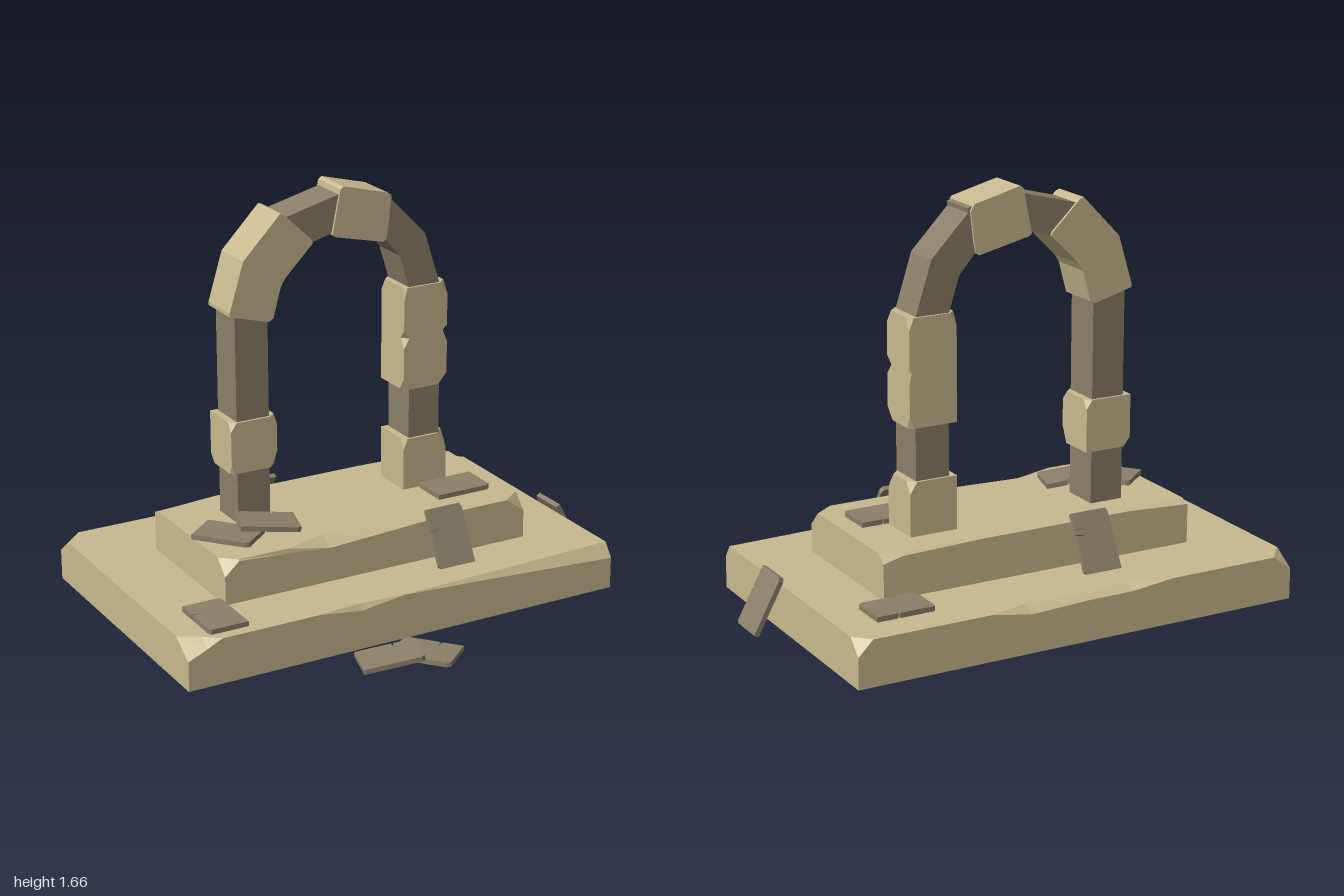
import * as THREE from 'three';

const sand = new THREE.MeshStandardMaterial({ color: 0xc8b990, flatShading: true });
const slate = new THREE.MeshStandardMaterial({ color: 0x8a7f69, flatShading: true });

function addMesh(group, name, geometry, material) {
  const mesh = new THREE.Mesh(geometry, material);
  mesh.name = name;
  group.add(mesh);
  return mesh;
}

// Rectangular stone lofted along an axis. Each station is [t, A, B, C, D], where
// A(u1,v1) B(u1,v0) C(u0,v0) D(u0,v1) are the [du, dv] chips off the four long edges.
function chippedStone(axis, [u0, u1], [v0, v1], stations) {
  const whole = [0.001, 0.001];
  const rings = stations.map(([t, A, B, C, D]) => {
    const [a, b, c, d] = [A, B, C, D].map((k) => k || whole);
    return [
      [u1 - a[0], v1], [u1, v1 - a[1]], [u1, v0 + b[1]], [u1 - b[0], v0],
      [u0 + c[0], v0], [u0, v0 + c[1]], [u0, v1 - d[1]], [u0 + d[0], v1],
    ].map(([u, v]) => (axis === 'y' ? [u, t, v] : [t, v, u]));
  });
  const pos = [];
  const tri = (...pts) => pts.forEach((p) => pos.push(...p));
  for (let s = 0; s < rings.length - 1; s++) {
    const lo = rings[s], hi = rings[s + 1];
    for (let i = 0; i < 8; i++) {
      const j = (i + 1) % 8;
      tri(lo[i], lo[j], hi[j]);
      tri(lo[i], hi[j], hi[i]);
    }
  }
  const first = rings[0], last = rings[rings.length - 1];
  for (let i = 1; i < 7; i++) {
    tri(last[0], last[i], last[i + 1]);
    tri(first[0], first[i + 1], first[i]);
  }
  const geometry = new THREE.BufferGeometry();
  geometry.setAttribute('position', new THREE.Float32BufferAttribute(pos, 3));
  geometry.computeVertexNormals();
  return geometry;
}

// Flat outline in x, y given thickness from z0 to z1
function prism(points, z0, z1) {
  const shape = new THREE.Shape(points.map(([x, y]) => new THREE.Vector2(x, y)));
  return new THREE.ExtrudeGeometry(shape, { depth: z1 - z0, bevelEnabled: false }).translate(0, 0, z0);
}

// Thin paving slab with broken corners and a crack, long side on x, lying flat
function slabGeometry() {
  const outline = [
    [-0.12, -0.08], [0.105, -0.08], [0.12, -0.07], [0.12, 0.08], [0.035, 0.08],
    [0.03, 0.045], [0.027, 0.08], [-0.11, 0.08], [-0.12, 0.073],
  ];
  return prism(outline, -0.01, 0.01).rotateX(-Math.PI / 2);
}

export function createModel() {
  const model = new THREE.Group();
  model.name = 'ruinedArch';

  // Two-stepped plinth with worn top edges
  addMesh(model, 'lowerStep', chippedStone('x', [-0.75, 0.43], [0, 0.185], [
    [-1, [0.1, 0.065], null, null, [0.09, 0.06]],
    [-0.92, [0.05, 0.03]],
    [-0.86],
    [-0.45],
    [-0.27, [0.015, 0.025], null, null, [0.045, 0.02]],
    [-0.08, null, null, null, [0.035, 0.02]],
    [0.17, [0.01, 0.014], null, null, [0.04, 0.03]],
    [0.33, [0.017, 0.023]],
    [0.82, [0.038, 0.052]],
    [0.88, [0.04, 0.055], null, null, [0.06, 0.06]],
  ]), sand);
  addMesh(model, 'upperStep', chippedStone('x', [-0.44, 0.18], [0.18, 0.36], [
    [-0.72, [0.06, 0.06], null, null, [0.04, 0.015]],
    [-0.66, [0.005, 0.005], null, null, [0.035, 0.013]],
    [-0.45, [0.004, 0.018]],
    [-0.27, [0.06, 0.035]],
    [0.17, [0.025, 0.012]],
    [0.2],
    [0.54, null, null, null, [0.015, 0.01]],
    [0.62, [0.06, 0.06], null, null, [0.04, 0.03]],
  ]), sand);

  // Pillars: narrow dark shafts and wider chipped blocks
  const shaft = (x, y0, y1) => addMesh(model, 'pillarShaft',
    new THREE.BoxGeometry(0.14, y1 - y0, 0.16).translate(x, (y0 + y1) / 2, -0.21), slate);
  const block = (name, x, stations) => addMesh(model, name,
    chippedStone('y', [x - 0.1, x + 0.1], [-0.3, -0.12], stations), sand);
  shaft(-0.435, 0.35, 1.22);
  shaft(0.335, 0.55, 0.8);

  const c = (s) => [s, s];
  block('leftPillarBlock', -0.435, [
    [0.575, c(0.03), null, c(0.03), c(0.015)],
    [0.61, c(0.015)],
    [0.64],
    [0.75],
    [0.785, c(0.03), c(0.025), null, c(0.025)],
  ]);
  block('rightPillarFoot', 0.335, [
    [0.355],
    [0.5],
    [0.53, c(0.012)],
    [0.575, c(0.045), c(0.03), null, c(0.02)],
  ]);
  block('rightPillarBlock', 0.335, [
    [0.785, c(0.04), c(0.02), null, c(0.03)],
    [0.83],
    [0.96],
    [1.0, c(0.035), c(0.01), null, c(0.025)],
    [1.03],
    [1.06],
    [1.16],
    [1.21, c(0.035), c(0.02), c(0.03), c(0.015)],
  ]);

  // Curved ring: dark voussoirs between wider chipped ones
  const archStone = (name, points, light) => addMesh(model, name,
    prism(points, light ? -0.3 : -0.29, light ? -0.12 : -0.13), light ? sand : slate);
  archStone('rightArchStone', [
    [0.265, 1.2], [0.405, 1.2], [0.335, 1.42], [0.18, 1.58], [0.1, 1.5], [0.15, 1.425], [0.22, 1.345],
  ]);
  archStone('upperLeftArchStone', [
    [-0.19, 1.45], [-0.06, 1.485], [0.02, 1.49], [0.04, 1.62], [-0.02, 1.637], [-0.29, 1.568],
  ]);
  archStone('topStub', [[0.1, 1.5], [0.17, 1.5], [0.185, 1.595], [0.1, 1.62]]);
  archStone('crownStone', [
    [-0.085, 1.475], [-0.075, 1.465], [0.14, 1.415], [0.152, 1.425], [0.16, 1.46], [0.175, 1.585],
    [0.16, 1.61], [-0.035, 1.66], [-0.048, 1.65],
  ], true);
  archStone('leftArchStone', [
    [-0.53, 1.215], [-0.365, 1.17], [-0.345, 1.18], [-0.31, 1.305], [-0.29, 1.335], [-0.17, 1.455], [-0.175, 1.468],
    [-0.295, 1.585], [-0.31, 1.59], [-0.47, 1.425], [-0.53, 1.23],
  ], true);

  // Fallen slabs: position, turn about y, and lift of the far end
  const q = Math.PI / 2;
  const slabs = [
    ['leaningSlabFront', 0.238, 0.288, 0.235, q, 1.08],
    ['leaningSlabBack', -0.258, 0.288, -0.5, -q, 1.08],
    ['leaningSlabSide', 0.938, 0.11, -0.035, Math.PI, 1.08],
    ['slabOnLowerStep', 0.615, 0.195, -0.535, 0, 0],
    ['slabOnUpperStep', 0.425, 0.37, -0.035, 0, 0],
    ['slabOnLowerStep', -0.807, 0.195, 0.265, q, 0],
    ['slabOnUpperStep', -0.595, 0.372, -0.04, -0.88, 0],
    ['stackedSlab', -0.43, 0.392, -0.03, -0.27, -0.12],
    ['slabOnGround', -0.088, 0.02, 0.61, -0.88, 0],
    ['stackedSlab', -0.248, 0.037, 0.603, -0.27, 0.13],
  ];
  const slab = slabGeometry();
  for (const [name, x, y, z, turn, lift] of slabs) {
    const mesh = addMesh(model, name, slab, slate);
    mesh.position.set(x, y, z);
    mesh.rotation.set(0, turn, lift, 'YXZ');
  }
  return model;
}
